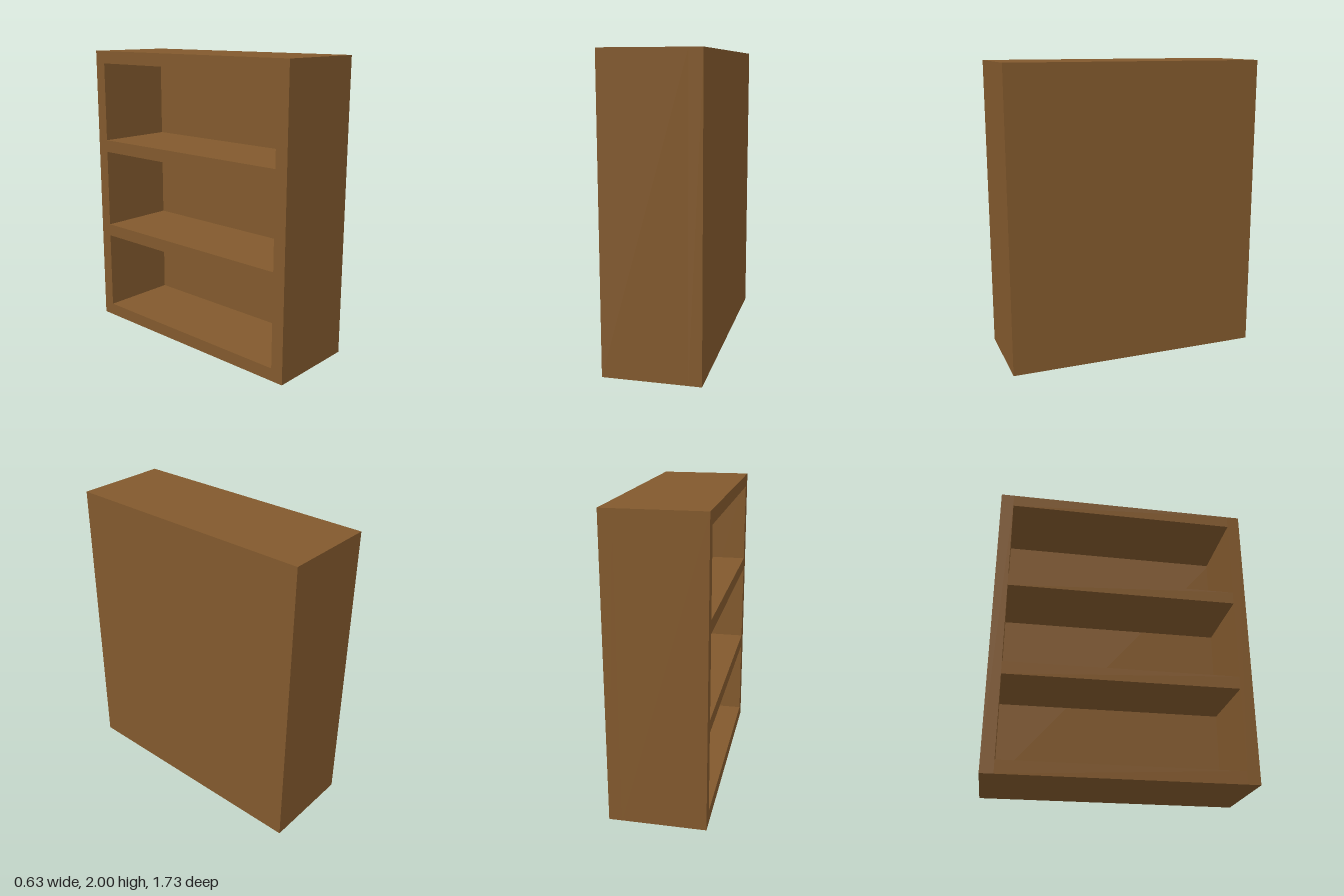
import * as THREE from 'three';

const DEPTH = 0.634, HEIGHT = 2, WIDTH = 1.728, BOARD = 0.086;

export function createModel() {
  const model = new THREE.Group();
  model.name = 'bookcase';
  const wood = new THREE.MeshStandardMaterial({ color: 0x82592d });
  wood.name = 'brown wood';

  const board = (name, sx, sy, sz, x, y, z) => {
    const mesh = new THREE.Mesh(new THREE.BoxGeometry(sx, sy, sz), wood);
    mesh.name = name;
    mesh.position.set(x, y, z);
    model.add(mesh);
  };

  // Closed panel on +x; the shelves open towards -x
  board('backPanel', BOARD, HEIGHT, WIDTH, (DEPTH - BOARD) / 2, HEIGHT / 2, 0);

  // Upright sides
  const inner = DEPTH - BOARD;
  for (const side of [-1, 1]) {
    board(side > 0 ? 'frontSide' : 'rearSide', inner, HEIGHT, BOARD,
      -BOARD / 2, HEIGHT / 2, side * (WIDTH - BOARD) / 2);
  }

  // Base, two shelves and top, evenly spaced
  const names = ['baseBoard', 'lowerShelf', 'upperShelf', 'topBoard'];
  const step = (HEIGHT - BOARD) / (names.length - 1);
  names.forEach((name, i) =>
    board(name, inner, BOARD, WIDTH - 2 * BOARD, -BOARD / 2, BOARD / 2 + i * step, 0));

  return model;
}
